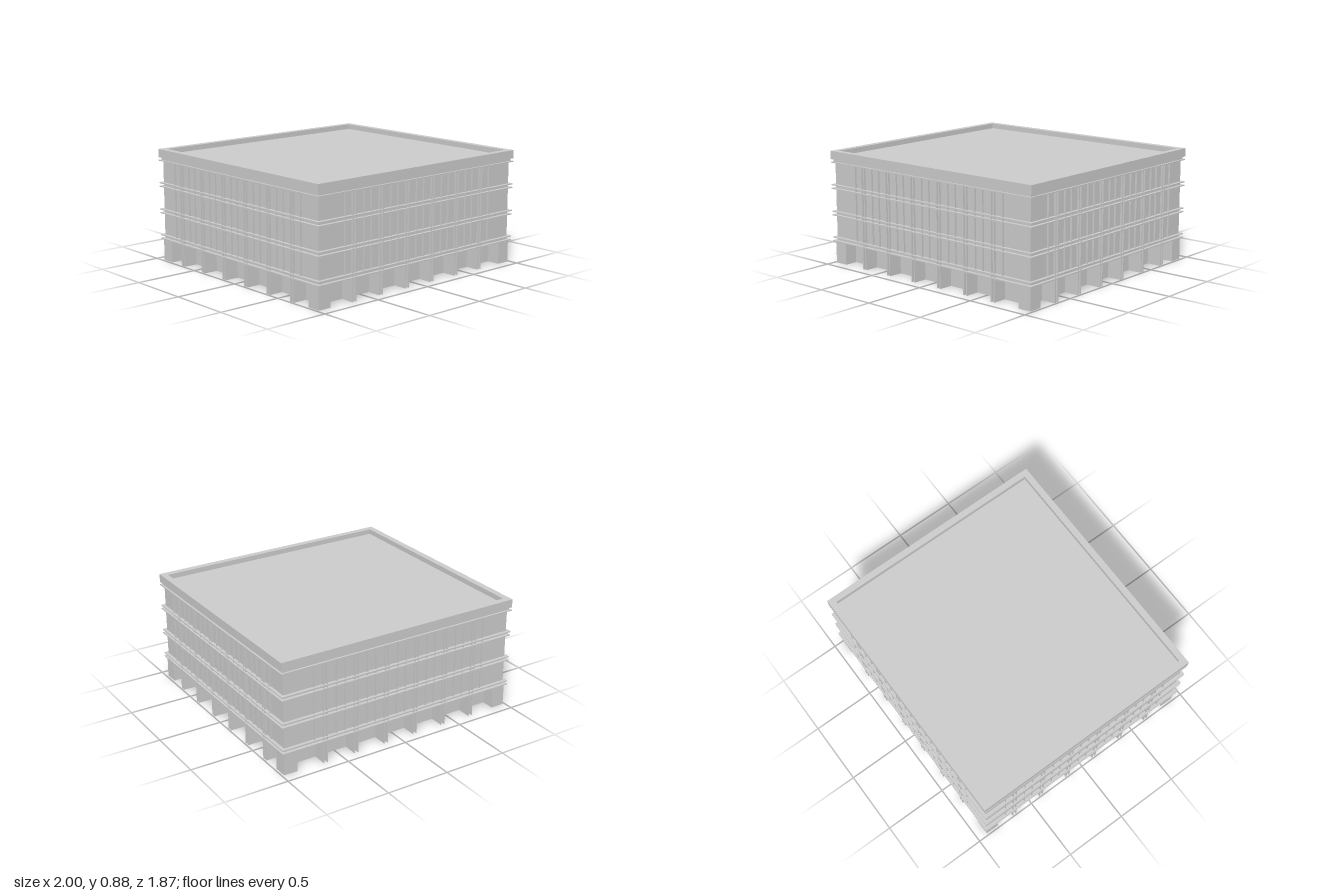
import * as THREE from 'three';

const HX = 1, HZ = 0.935;            // half extents of the footprint
const FIN = 0.008;                   // thickness of plates and fins

export function createModel() {
  const model = new THREE.Group();
  const mat = new THREE.MeshStandardMaterial({ color: 0xcccccc, flatShading: true });

  // Box between two heights, centred at (x, z)
  function block(name, w, y0, y1, d, x = 0, z = 0, parent = model) {
    const mesh = new THREE.Mesh(new THREE.BoxGeometry(w, y1 - y0, d), mat);
    mesh.position.set(x, (y0 + y1) / 2, z);
    mesh.name = name;
    parent.add(mesh);
    return mesh;
  }
  function group(name) {
    const g = new THREE.Group();
    g.name = name;
    model.add(g);
    return g;
  }

  // Upper storeys and the narrow neck under the parapet
  block('upperWalls', 2 * (HX - 0.025), 0.178, 0.797, 2 * (HZ - 0.025));
  block('roofNeck', 2 * (HX - 0.015), 0.797, 0.822, 2 * (HZ - 0.015));

  // Recessed ground floor walls, open underneath
  const ground = group('groundWalls');
  for (const s of [-1, 1]) {
    block('groundWall', 1.75, 0, 0.178, 0.01, 0, s * 0.81, ground);
    block('groundWall', 0.01, 0, 0.178, 1.63, s * 0.87, 0, ground);
  }

  // Solid corner piers
  const piers = group('cornerPiers');
  for (const sx of [-1, 1]) for (const sz of [-1, 1])
    block('cornerPier', 0.108, 0, 0.178, 0.105, sx * 0.929, sz * 0.866, piers);

  // Pairs of thin floor plates around the whole building
  const plates = group('floorPlates');
  for (const y of [0.177, 0.205, 0.382, 0.41, 0.592, 0.62, 0.797])
    block('floorPlate', 2 * HX, y - FIN / 2, y + FIN / 2, 2 * HZ, 0, 0, plates);

  // Paired column plates running through the building both ways
  const columns = group('columnPlates');
  const lines = Array.from({ length: 6 }, (_, i) => -0.657 + 0.26 * i);
  for (const p of lines) for (const o of [-0.014, 0.014]) {
    block('columnPlate', FIN, 0, 0.797, 2 * (HZ - 0.009), p + o, 0, columns);
    block('columnPlate', 2 * (HX - 0.009), 0, 0.797, FIN, 0, p + o, columns);
  }

  // Slim mullions, two in each bay and one in each end bay
  const mullions = group('mullions');
  const stops = [-0.742, 0.735];
  for (let i = 0; i < 5; i++) stops.push(lines[i] + 0.094, lines[i] + 0.166);
  for (const p of stops) for (const s of [-1, 1]) {
    block('mullion', 0.004, 0.205, 0.797, 0.03, p, s * (HZ - 0.025), mullions);
    block('mullion', 0.03, 0.205, 0.797, 0.004, s * (HX - 0.025), p, mullions);
  }

  // Parapet ring and the sunken roof deck
  const rect = (target, x, z) => {
    target.moveTo(-x, -z);
    target.lineTo(x, -z);
    target.lineTo(x, z);
    target.lineTo(-x, z);
    target.closePath();
    return target;
  };
  const ring = rect(new THREE.Shape(), HX, HZ);
  ring.holes.push(rect(new THREE.Path(), 0.95, 0.885));
  const parapet = new THREE.Mesh(
    new THREE.ExtrudeGeometry(ring, { depth: 0.065, bevelEnabled: false }), mat);
  parapet.rotation.x = -Math.PI / 2;
  parapet.position.y = 0.82;
  parapet.name = 'parapet';
  model.add(parapet);
  block('roofDeck', 1.9, 0.81, 0.845, 1.77);

  return model;
}
